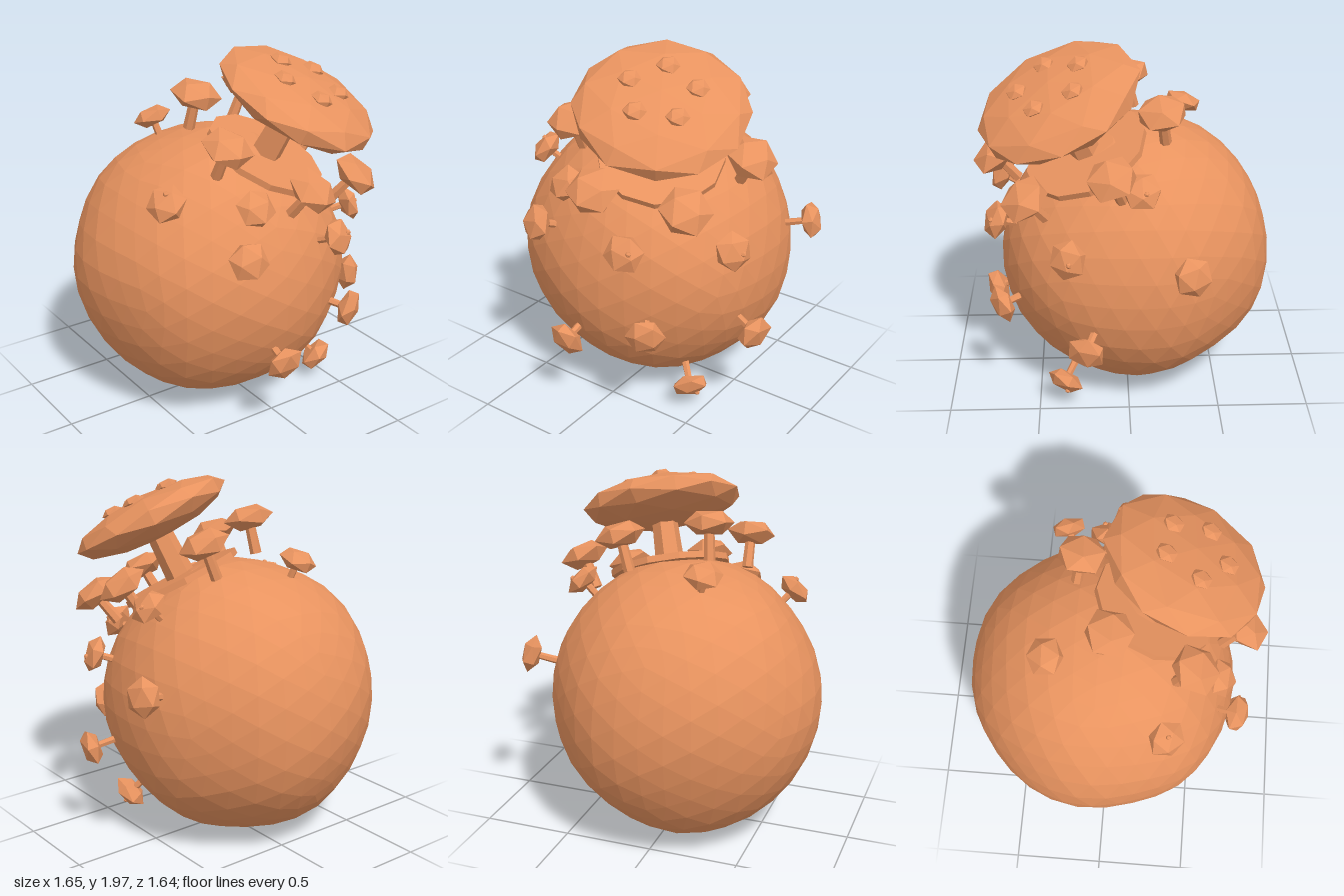
import * as THREE from 'three';

const clay = new THREE.MeshStandardMaterial({ color: 0xe8935f, flatShading: true });
const UP = new THREE.Vector3(0, 1, 0);
const CENTER = new THREE.Vector3(-0.06, 0.78, -0.05);
const DEG = Math.PI / 180;

function add(parent, name, geometry, x = 0, y = 0, z = 0) {
  const mesh = new THREE.Mesh(geometry, clay);
  mesh.name = name;
  mesh.position.set(x, y, z);
  parent.add(mesh);
  return mesh;
}

// Flattened faceted ball, used for caps and spots
const disc = (r, h, detail = 0) => new THREE.IcosahedronGeometry(r, detail).scale(1, h / r, 1);

// Mushroom whose cap centre is the group's origin, pointing along dir
function mushroom(name, pos, dir, r, stemLength, stemRadius, spotted) {
  const g = new THREE.Group();
  g.name = name;
  g.position.copy(pos);
  g.quaternion.setFromUnitVectors(UP, dir);
  add(g, 'cap', disc(r, r * 0.52));
  add(g, 'stem', new THREE.CylinderGeometry(stemRadius * 0.85, stemRadius, stemLength, 6), 0, -stemLength / 2, 0);
  if (spotted) add(g, 'spot', disc(0.016, 0.014), 0.03, r * 0.42, -0.02);
  return g;
}

// Lumpy ball
function bodyGeometry() {
  const geo = new THREE.IcosahedronGeometry(1, 5);
  const p = geo.attributes.position;
  const v = new THREE.Vector3();
  for (let i = 0; i < p.count; i++) {
    v.fromBufferAttribute(p, i);
    const bump = Math.sin(5 * v.x + 2 * v.y + 1) * Math.sin(4 * v.y - 3 * v.z) + 0.6 * Math.sin(7 * v.z + 4 * v.x);
    v.multiplyScalar(0.757 + 0.009 * bump);
    p.setXYZ(i, v.x, v.y * 1.01, v.z);
  }
  geo.computeVertexNormals();
  return geo;
}

export function createModel() {
  const model = new THREE.Group();
  model.name = 'mushroomBall';
  add(model, 'body', bodyGeometry(), CENTER.x, CENTER.y, CENTER.z);

  // Crown: tilted frame carrying the large mushroom and its ring of six
  const crown = new THREE.Group();
  crown.name = 'crown';
  crown.position.copy(CENTER);
  crown.quaternion.setFromUnitVectors(UP, new THREE.Vector3(0.272, 0.887, 0.371).normalize());
  model.add(crown);
  add(crown, 'collar', new THREE.CylinderGeometry(0.34, 0.34, 0.035, 12), 0, 0.73, 0);
  add(crown, 'largeStem', new THREE.CylinderGeometry(0.07, 0.085, 0.4, 6), 0, 0.88, 0);
  add(crown, 'largeCap', disc(0.455, 0.13, 1), 0, 1.105, 0);
  for (let i = 0; i < 5; i++) {
    const a = (29 + 72 * i) * DEG;
    add(crown, 'largeCapSpot', disc(0.062, 0.034), 0.18 * Math.cos(a), 1.22, 0.18 * Math.sin(a));
  }
  for (let i = 0; i < 6; i++) {
    const a = (-20 + 60 * i) * DEG;
    const pos = new THREE.Vector3(0.48 * Math.cos(a), 0.865, 0.48 * Math.sin(a));
    const dir = new THREE.Vector3(0.25 * Math.cos(a), 1, 0.25 * Math.sin(a)).normalize();
    crown.add(mushroom('ringMushroom', pos, dir, 0.14, 0.2, 0.032));
  }

  // Small mushrooms growing straight out of the body: cap x, y, z, spotted
  const small = [
    [-0.56, 1.34, 0.33, 1], [-0.24, 1.57, -0.32, 0], [-0.2, 1.32, 0.6, 0],
    [-0.32, 1.1, 0.71, 0], [0.255, 1.09, 0.71, 1], [0.66, 1.06, 0.32, 1],
    [0.77, 1.01, -0.31, 0], [0.56, 1.39, -0.06, 1], [0.37, 0.63, 0.69, 0],
    [-0.11, 0.47, 0.75, 0], [0.755, 0.56, 0.235, 0], [0.43, 0.16, 0.355, 1],
  ];
  for (const [x, y, z, spotted] of small) {
    const pos = new THREE.Vector3(x, y, z);
    const dir = pos.clone().sub(CENTER).normalize();
    model.add(mushroom('smallMushroom', pos, dir, 0.108, 0.18, 0.022, spotted));
  }
  return model;
}
